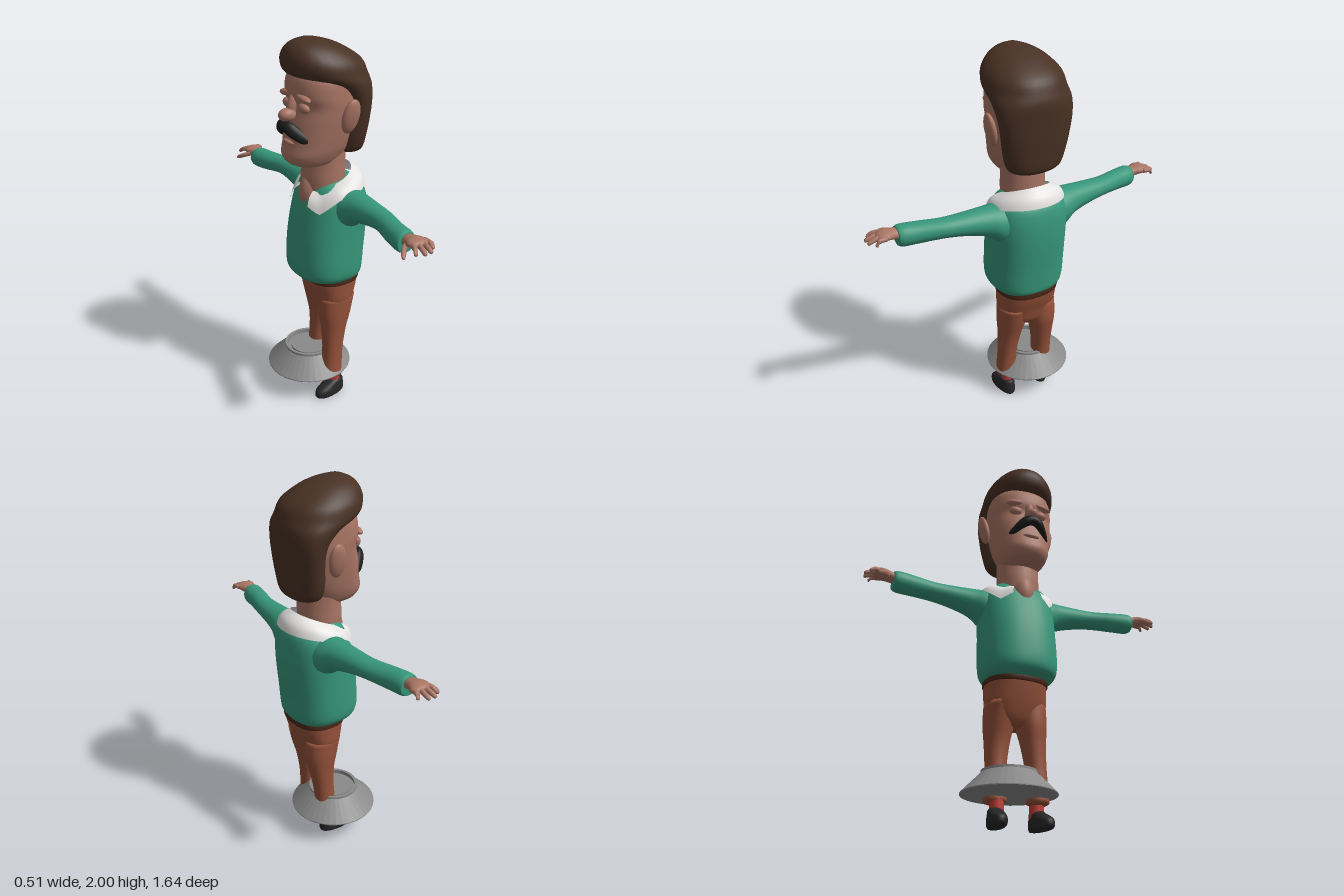
import * as THREE from 'three';

const mat = (name, color, side = THREE.FrontSide) => {
  const m = new THREE.MeshStandardMaterial({ color, side });
  m.name = name;
  return m;
};

// Smooth scalar spline through the rows of a section list
const spline = (a, b, c, d, t) =>
  b + 0.5 * t * (c - a + t * (2 * a - 5 * b + 4 * c - d + t * (3 * (b - c) + d - a)));

// Closed skin over rounded sections [t, u, v, ru, rv]; t runs along y (u=x, v=z) or x (u=z, v=y)
function loft(rows, axis = 'y', power = 2, sides = 32, steps = 4) {
  const list = [...rows].sort((p, q) => p[0] - q[0]);
  const at = (i) => list[Math.min(Math.max(i, 0), list.length - 1)];
  const rings = [];
  for (let i = 0; i < list.length - 1; i++)
    for (let k = 0; k < steps; k++)
      rings.push(at(i).map((_, c) => spline(at(i - 1)[c], at(i)[c], at(i + 1)[c], at(i + 2)[c], k / steps)));
  rings.push(at(list.length));
  const pos = [], idx = [];
  const put = (u, t, v) => (axis === 'y' ? pos.push(u, t, v) : pos.push(t, v, u));
  const bend = (c) => Math.sign(c) * Math.abs(c) ** (2 / power);
  for (const [t, u, v, ru, rv] of rings)
    for (let j = 0; j < sides; j++) {
      const a = (j / sides) * Math.PI * 2;
      put(u + Math.max(ru, 0.001) * bend(Math.cos(a)), t, v + Math.max(rv, 0.001) * bend(Math.sin(a)));
    }
  const n = rings.length, first = n * sides;
  for (const r of [rings[0], rings[n - 1]]) put(r[1], r[0], r[2]);
  for (let j = 0; j < sides; j++) {
    const k = (j + 1) % sides;
    for (let i = 0; i < n - 1; i++) {
      const p = i * sides, q = p + sides;
      idx.push(p + j, q + j, p + k, p + k, q + j, q + k);
    }
    idx.push(first, j, k, first + 1, (n - 1) * sides + k, (n - 1) * sides + j);
  }
  const g = new THREE.BufferGeometry();
  g.setAttribute('position', new THREE.Float32BufferAttribute(pos, 3));
  g.setIndex(idx);
  g.computeVertexNormals();
  return g;
}

// Upright body section from its back z, front z and half width
const sec = (y, back, front, rx, x = 0) => [y, x, (back + front) / 2, rx, (front - back) / 2];

// Open collar: wraps the neck from the back, with two points hanging in front
function collarGeometry() {
  const pos = [], idx = [], cols = 48, rows = 6;
  for (let i = 0; i <= cols; i++) {
    const u = (i / cols) * 2 - 1, phi = u * 0.87 * Math.PI;
    const f = (1 - Math.cos(phi)) / 2;
    const tip = Math.max(0, 1 - Math.abs(Math.abs(u) - 0.88) / 0.2) * 0.065;
    for (let j = 0; j <= rows; j++) {
      const t = j / rows, b = Math.sin(t * Math.PI) * 0.014;
      const rx = 0.125 + 0.078 * t + b, rz = 0.12 + 0.068 * t + b;
      const y = 1.35 - 0.1 * f + (-0.085 + 0.04 * f - tip) * t + b * 0.6;
      pos.push(Math.sin(phi) * rx, y, -0.015 - Math.cos(phi) * rz);
      if (i < cols && j < rows) {
        const p = i * (rows + 1) + j, q = p + rows + 1;
        idx.push(p, p + 1, q, q, p + 1, q + 1);
      }
    }
  }
  const g = new THREE.BufferGeometry();
  g.setAttribute('position', new THREE.Float32BufferAttribute(pos, 3));
  g.setIndex(idx);
  g.computeVertexNormals();
  return g;
}

export function createModel() {
  const skin = mat('skin', 0xa87564), hair = mat('hair brown', 0x483124);
  const green = mat('sweater green', 0x37977a), brown = mat('trouser brown', 0x94513a);
  const belt = mat('belt brown', 0x4c2819), white = mat('collar white', 0xe6e4e2, THREE.DoubleSide);
  const black = mat('shoe black', 0x262628), dark = mat('moustache black', 0x1d1c1d);
  const red = mat('sock red', 0xc23c34), grey = mat('stand grey', 0x8a8a8a);

  const model = new THREE.Group();
  const man = new THREE.Group();
  man.name = 'man';
  man.position.x = 0.03;
  man.rotation.y = Math.atan2(-0.975, -0.22);
  model.add(man);
  const add = (name, geometry, material, parent = man) => {
    const m = new THREE.Mesh(geometry, material);
    m.name = name;
    parent.add(m);
    return m;
  };
  const ball = (name, material, p, s) => {
    const m = add(name, new THREE.SphereGeometry(1, 24, 16), material);
    m.position.set(...p);
    m.scale.set(...s);
    return m;
  };

  // Head and neck
  add('head', loft([sec(1.375, 0.0, 0.14, 0.06), sec(1.395, -0.05, 0.205, 0.105), sec(1.44, -0.09, 0.232, 0.132),
    sec(1.5, -0.12, 0.218, 0.15), sec(1.6, -0.14, 0.2, 0.168), sec(1.68, -0.15, 0.178, 0.178),
    sec(1.74, -0.15, 0.192, 0.178), sec(1.82, -0.15, 0.18, 0.168), sec(1.88, -0.1, 0.13, 0.12)], 'y', 2.3), skin);
  add('neck', loft([sec(1.2, -0.1, 0.12, 0.11), sec(1.3, -0.1, 0.125, 0.115), sec(1.38, -0.1, 0.12, 0.115),
    sec(1.48, -0.1, 0.12, 0.12)]), skin);
  ball('chest', skin, [0, 1.225, 0.07], [0.065, 0.11, 0.078]);
  add('hair', loft([sec(1.425, -0.15, -0.05, 0.09), sec(1.45, -0.178, -0.02, 0.14), sec(1.52, -0.19, -0.015, 0.165),
    sec(1.62, -0.2, -0.025, 0.182), sec(1.71, -0.207, -0.01, 0.194), sec(1.78, -0.212, 0.07, 0.2),
    sec(1.83, -0.2, 0.19, 0.198), sec(1.89, -0.17, 0.222, 0.185), sec(1.945, -0.09, 0.212, 0.14),
    sec(1.98, -0.01, 0.18, 0.085), sec(2.0, 0.07, 0.13, 0.025)], 'y', 2.15), hair);

  // Face
  ball('nose', skin, [0, 1.645, 0.215], [0.036, 0.034, 0.048]);
  ball('noseBridge', skin, [0, 1.69, 0.185], [0.024, 0.06, 0.03]).rotation.x = -0.25;
  add('moustache', loft([-1, 1].flatMap((s) => [[s * 0.112, 0.165, 1.53, 0.008, 0.01], [s * 0.09, 0.188, 1.545, 0.022, 0.026],
    [s * 0.05, 0.222, 1.58, 0.028, 0.034]]).concat([[0, 0.236, 1.597, 0.025, 0.026]]), 'x', 2, 20), dark);
  ball('lowerLip', skin, [0, 1.51, 0.21], [0.045, 0.014, 0.02]);

  // Paired parts
  for (const s of [1, -1]) {
    const side = s > 0 ? 'left' : 'right';
    ball(side + 'Ear', skin, [s * 0.192, 1.645, -0.02], [0.024, 0.088, 0.048]).rotation.set(-0.12, 0, -s * 0.2);
    ball(side + 'Eyelid', skin, [s * 0.07, 1.685, 0.165], [0.038, 0.026, 0.026]);
    ball(side + 'Brow', skin, [s * 0.075, 1.735, 0.172], [0.055, 0.018, 0.024]).rotation.z = -s * 0.15;

    // Sleeve and hand
    add(side + 'Sleeve', loft([[s * 0.08, -0.04, 1.15, 0.11, 0.12], [s * 0.18, -0.045, 1.16, 0.1, 0.103],
      [s * 0.25, -0.045, 1.183, 0.08, 0.077], [s * 0.35, -0.04, 1.195, 0.066, 0.06], [s * 0.46, -0.03, 1.2, 0.058, 0.05],
      [s * 0.58, 0, 1.196, 0.057, 0.054], [s * 0.66, 0.014, 1.195, 0.057, 0.056], [s * 0.685, 0.017, 1.195, 0.05, 0.048]], 'x'), green);
    add(side + 'Hand', loft([[s * 0.66, 0.015, 1.205, 0.034, 0.028], [s * 0.7, 0.015, 1.215, 0.037, 0.027],
      [s * 0.74, 0.015, 1.222, 0.052, 0.024], [s * 0.77, 0.012, 1.222, 0.048, 0.018], [s * 0.785, 0.01, 1.22, 0.025, 0.01]], 'x', 2, 20), skin);
    for (let i = 0; i < 4; i++) {
      const z = 0.047 - i * 0.026, out = 0.068 - i * 0.035, end = [0.815, 0.835, 0.832, 0.805][i];
      add(side + 'Finger', loft([[s * 0.745, z, 1.222, 0.013, 0.013], [s * 0.785, (z + out) / 2, 1.22, 0.0125, 0.013],
        [s * (end - 0.008), out, 1.205, 0.011, 0.011], [s * end, out, 1.203, 0.004, 0.004]], 'x', 2, 10), skin);
    }
    add(side + 'Thumb', loft([[s * 0.705, 0.035, 1.212, 0.014, 0.014], [s * 0.735, 0.075, 1.2, 0.017, 0.014],
      [s * 0.765, 0.1, 1.185, 0.013, 0.012], [s * 0.778, 0.107, 1.18, 0.004, 0.004]], 'x', 2, 10), skin);

    // Trouser leg, sock and shoe
    const z = s * 0.02;
    add(side + 'TrouserLeg', loft([[0.118, s * 0.103, z, 0.042, 0.044], [0.13, s * 0.103, z, 0.056, 0.06],
      [0.17, s * 0.102, z, 0.055, 0.058], [0.3, s * 0.098, z - 0.01, 0.053, 0.057], [0.42, s * 0.09, z - 0.02, 0.063, 0.07],
      [0.52, s * 0.083, z * 0.7 - 0.025, 0.077, 0.09], [0.62, s * 0.08, -0.025, 0.08, 0.1]], 'y', 2.2), brown);
    const sock = add(side + 'Sock', new THREE.CylinderGeometry(0.036, 0.036, 0.08, 20), red);
    sock.position.set(s * 0.103, 0.095, 0.005);
    const shoe = add(side + 'Shoe', loft([sec(0, -0.052, 0.125, 0.038), sec(0.012, -0.056, 0.135, 0.045),
      sec(0.04, -0.055, 0.13, 0.045), sec(0.06, -0.052, 0.1, 0.041), sec(0.08, -0.048, 0.055, 0.037),
      sec(0.09, -0.04, 0.04, 0.03)], 'y', 2.2), black);
    shoe.position.x = s * 0.108;
    shoe.rotation.y = s * 0.12;
  }

  // Hips and belt
  add('hips', loft([sec(0.5, -0.08, 0.04, 0.06), sec(0.54, -0.11, 0.065, 0.13), sec(0.61, -0.13, 0.088, 0.16),
    sec(0.68, -0.155, 0.105, 0.162), sec(0.73, -0.165, 0.115, 0.162)], 'y', 2.4), brown);
  add('belt', loft([sec(0.718, -0.168, 0.12, 0.166), sec(0.735, -0.172, 0.125, 0.168), sec(0.77, -0.172, 0.125, 0.166)], 'y', 2.4), belt);

  // Sweater body and collar
  add('sweater', loft([sec(0.742, -0.165, 0.14, 0.168), sec(0.765, -0.178, 0.178, 0.192), sec(0.81, -0.183, 0.192, 0.204),
    sec(0.9, -0.19, 0.19, 0.205), sec(1.0, -0.2, 0.18, 0.204), sec(1.1, -0.205, 0.16, 0.204), sec(1.19, -0.2, 0.135, 0.198),
    sec(1.255, -0.18, 0.105, 0.172), sec(1.295, -0.13, 0.08, 0.115)], 'y', 2.4, 40), green);
  add('collar', collarGeometry(), white);

  // Conical stand around the ankles
  const profile = [[0, 0.145], [0.235, 0.145], [0.235, 0.15], [0.137, 0.248], [0.137, 0.26], [0.122, 0.26],
    [0.122, 0.238], [0.103, 0.238], [0.103, 0.25], [0, 0.25]];
  const lathe = new THREE.LatheGeometry(profile.map((p) => new THREE.Vector2(...p)), 40).toNonIndexed();
  lathe.computeVertexNormals();
  add('stand', lathe, grey, model).position.set(-0.018, 0, -0.075);

  return model;
}
